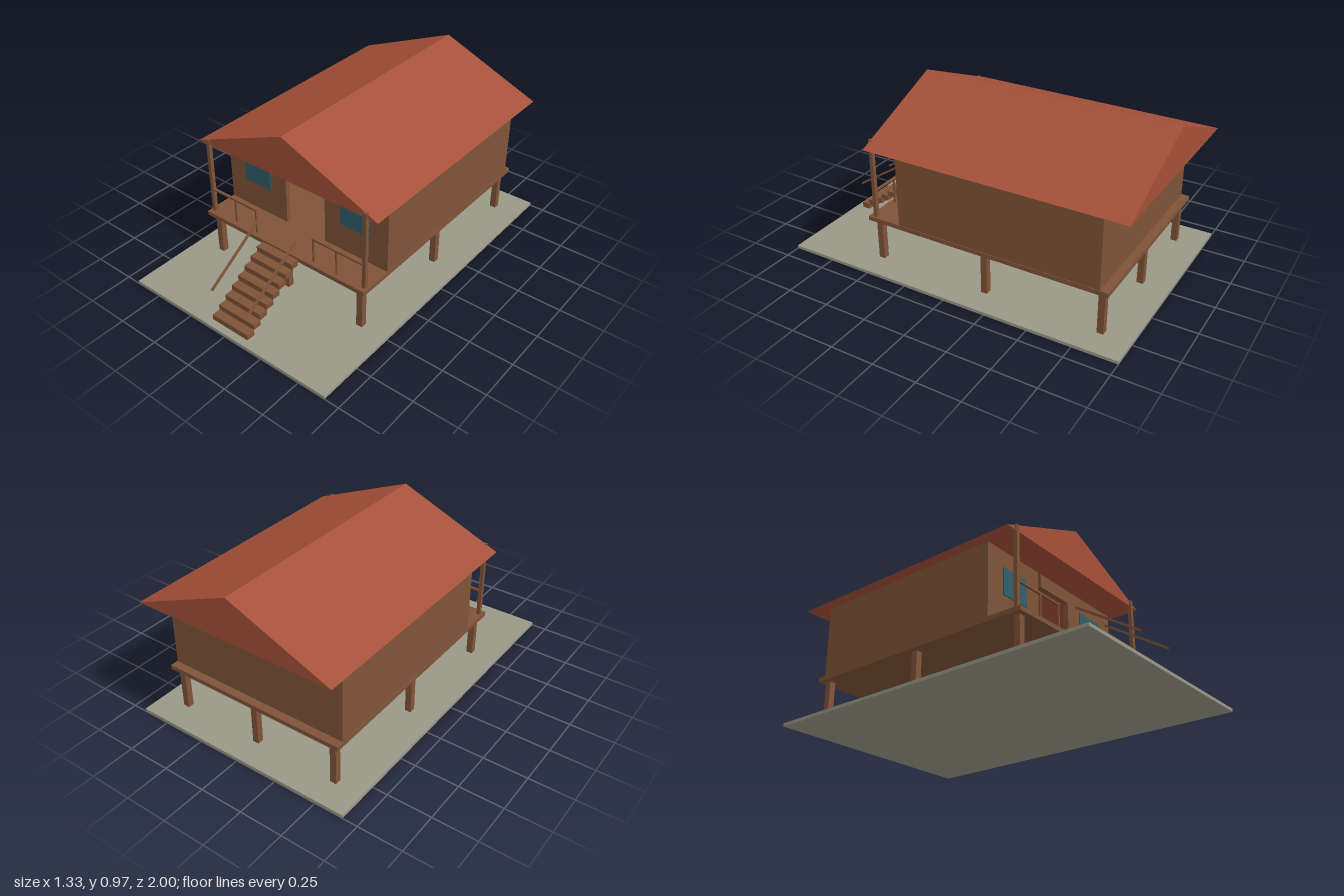
import * as THREE from 'three';

export function createModel() {
  const model = new THREE.Group();
  model.name = 'stiltHouse';

  const mat = (name, color) => {
    const m = new THREE.MeshStandardMaterial({ color });
    m.name = name;
    return m;
  };
  const wood = mat('brown wood', 0x7f5337);
  const tile = mat('red roof', 0xa45038);
  const stone = mat('grey ground', 0x9a9888);
  const glass = mat('teal glass', 0x305f69);

  // Box given by its minimum and maximum on each axis
  const box = (name, material, [x0, x1], [y0, y1], [z0, z1]) => {
    const mesh = new THREE.Mesh(new THREE.BoxGeometry(x1 - x0, y1 - y0, z1 - z0), material);
    mesh.position.set((x0 + x1) / 2, (y0 + y1) / 2, (z0 + z1) / 2);
    mesh.name = name;
    model.add(mesh);
    return mesh;
  };
  const around = (c, width) => [c - width / 2, c + width / 2];
  // The same span on the right (s = -1) or left (s = 1)
  const side = (s, a, b) => (s > 0 ? [a, b] : [-b, -a]);

  // Ground slab, stilts and deck
  box('groundSlab', stone, [-0.665, 0.665], [0, 0.018], [-1, 1]);
  for (const x of [-0.5, 0, 0.5]) {
    for (const z of [0.505, -0.165, -0.835]) {
      box('stilt', wood, around(x, 0.036), [0.018, 0.265], around(z, 0.036));
    }
  }
  box('deck', wood, [-0.55, 0.55], [0.265, 0.29], [-0.88, 0.552]);

  // Hollow house with an open doorway
  const wallY = [0.29, 0.711];
  const t = 0.025;
  box('backWall', wood, [-0.546, 0.546], wallY, [-0.834, -0.834 + t]);
  box('doorLintel', wood, [-0.11, 0.135], [0.635, 0.711], [0.35 - t, 0.35]);

  for (const s of [-1, 1]) {
    box('sideWall', wood, side(s, 0.546 - t, 0.546), wallY, [-0.834 + t, 0.35 - t]);
    box('frontWall', wood, side(s, 0.135, 0.546), wallY, [0.35 - t, 0.35]);
    box('window', glass, side(s, 0.242, 0.428), [0.457, 0.614], [0.35, 0.356]);

    // Porch post and railing
    box('porchPost', wood, around(s * 0.527, 0.022), [0.29, 0.75], [0.504, 0.525]);
    box('porchRail', wood, side(s, 0.194, 0.518), [0.432, 0.443], [0.515, 0.528]);
    for (const x of [0.2, 0.352]) {
      box('baluster', wood, around(s * x, 0.009), [0.29, 0.432], around(0.521, 0.009));
    }

    // Sloping stair handrail
    const dz = 0.355, dy = 0.232;
    const rail = new THREE.Mesh(new THREE.BoxGeometry(0.011, 0.011, Math.hypot(dz, dy)), wood);
    rail.position.set(s * 0.134, 0.311, 0.761);
    rail.rotation.x = Math.atan2(dy, dz);
    rail.name = 'stairHandrail';
    model.add(rail);
  }

  // Stairs
  const rise = 0.0333, run = 0.05;
  for (let i = 0; i < 8; i++) {
    const y = 0.018 + i * rise;
    box('step', wood, [-0.124, 0.124], [y, y + rise], around(0.933 - i * run, run));
  }

  // Solid gable roof
  const gable = new THREE.Shape([
    new THREE.Vector2(-0.6, 0.719),
    new THREE.Vector2(0.6, 0.719),
    new THREE.Vector2(0, 0.967),
  ]);
  const roof = new THREE.Mesh(
    new THREE.ExtrudeGeometry(gable, { depth: 1.498, bevelEnabled: false }), tile);
  roof.position.z = -0.983;
  roof.name = 'roof';
  model.add(roof);

  return model;
}
